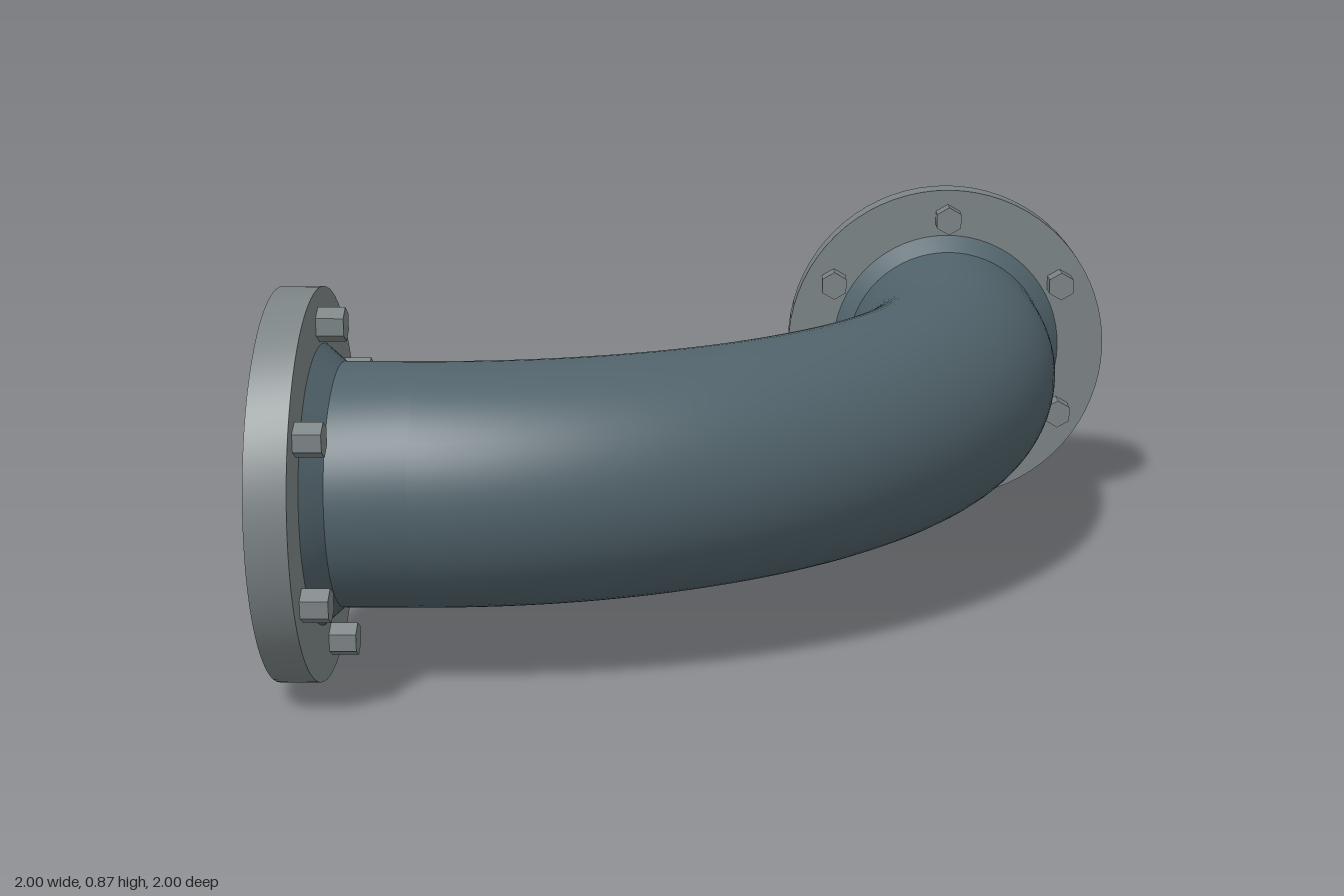
import * as THREE from 'three';
import { toCreasedNormals } from 'three/addons/utils/BufferGeometryUtils.js';

const AXIS_Y = 0.437;      // height of the pipe centreline
const OFFSET = 0.56;       // sideways position of each pipe end
const OUTER = 0.272, BORE = 0.208;
const FLANGE_R = 0.437, FLANGE_T = 0.09;
const BOLT_CIRCLE = 0.36, BOLTS = 6;
const BEND_R = 1.25, STRAIGHT_END = 0.31;

export function createModel() {
  const pipePaint = new THREE.MeshStandardMaterial({ color: 0x51636b, side: THREE.DoubleSide });
  pipePaint.name = 'blue grey pipe';
  const steel = new THREE.MeshStandardMaterial({ color: 0x7b8385 });
  steel.name = 'grey steel';

  const model = new THREE.Group();
  model.name = 'flangedPipeElbow';

  function add(parent, name, geometry, material) {
    const mesh = new THREE.Mesh(geometry, material);
    mesh.name = name;
    parent.add(mesh);
    return mesh;
  }

  // Revolve [radius, z] points about the z axis
  function revolve(points) {
    const g = new THREE.LatheGeometry(points.map(p => new THREE.Vector2(...p)), 64);
    return toCreasedNormals(g.rotateX(Math.PI / 2), 0.5);
  }

  const boltSpots = Array.from({ length: BOLTS }, (_, i) => {
    const a = Math.PI / 2 + (i / BOLTS) * Math.PI * 2;
    return [Math.cos(a) * BOLT_CIRCLE, Math.sin(a) * BOLT_CIRCLE];
  });

  // Flange disc with bore and bolt holes
  function flangeGeometry() {
    const disc = new THREE.Shape().absarc(0, 0, FLANGE_R, 0, Math.PI * 2);
    const cut = (x, y, r) => disc.holes.push(new THREE.Path().absarc(x, y, r, 0, Math.PI * 2, true));
    cut(0, 0, BORE);
    boltSpots.forEach(([x, y]) => cut(x, y, 0.025));
    const g = new THREE.ExtrudeGeometry(disc, { depth: FLANGE_T, bevelEnabled: false, curveSegments: 36 });
    return toCreasedNormals(g, 0.5);
  }

  // One pipe end: outer face at z = 0, pipe running towards +z
  function createEnd(name) {
    const end = new THREE.Group();
    end.name = name;
    add(end, 'flange', flangeGeometry(), steel);
    add(end, 'weldCollarAndStraightPipe', revolve([
      [0.312, FLANGE_T], [OUTER, FLANGE_T + 0.045], [OUTER, STRAIGHT_END],
    ]), pipePaint);
    add(end, 'straightBore', revolve([[BORE, STRAIGHT_END], [BORE, FLANGE_T]]), pipePaint);

    // Hexagonal bolt heads, one corner pointing up
    boltSpots.forEach(([x, y]) => {
      const head = new THREE.CylinderGeometry(0.038, 0.038, 0.06, 6).toNonIndexed();
      head.rotateX(Math.PI / 2);
      head.computeVertexNormals();
      add(end, 'boltHead', head, steel).position.set(x, y, FLANGE_T + 0.03);
    });
    model.add(end);
    return end;
  }

  createEnd('backEnd').position.set(OFFSET, AXIS_Y, -1);
  const sideEnd = createEnd('rightEnd');
  sideEnd.position.set(-1, AXIS_Y, OFFSET);
  sideEnd.rotation.y = Math.PI / 2;

  // Quarter bend, outer skin and bore
  for (const [name, r] of [['bend', OUTER], ['bendBore', BORE]]) {
    const g = new THREE.TorusGeometry(BEND_R, r, 64, 48, Math.PI / 2).rotateX(Math.PI / 2);
    add(model, name, g, pipePaint).position.set(OFFSET - BEND_R, AXIS_Y, OFFSET - BEND_R);
  }

  return model;
}
